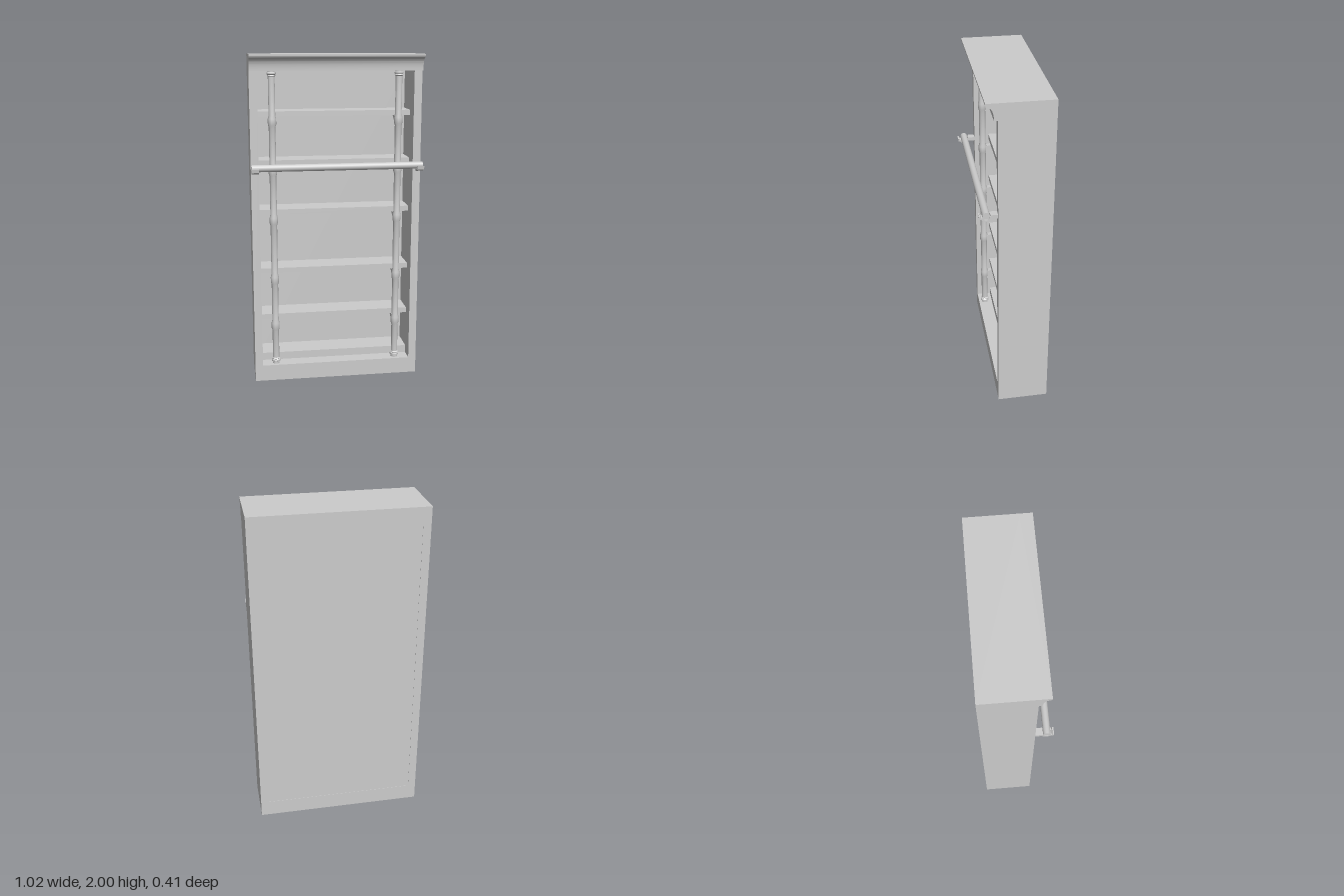
import * as THREE from 'three';
import { toCreasedNormals } from 'three/addons/utils/BufferGeometryUtils.js';

const material = new THREE.MeshStandardMaterial({ color: 0xcccccc });

const BACK = -0.205, FRONT = 0.1, INNER_BACK = -0.15;
const HALF = 0.51, OPEN_X = 0.463, OPEN_BOTTOM = 0.1, OPEN_TOP = 1.905;

function add(parent, name, geometry, x = 0, y = 0, z = 0) {
  const mesh = new THREE.Mesh(geometry, material);
  mesh.name = name;
  mesh.position.set(x, y, z);
  parent.add(mesh);
  return mesh;
}

function box(parent, name, x0, x1, y0, y1, z0, z1) {
  return add(parent, name, new THREE.BoxGeometry(x1 - x0, y1 - y0, z1 - z0),
    (x0 + x1) / 2, (y0 + y1) / 2, (z0 + z1) / 2);
}

// Side profile with shape x = world z, swept along world x and centred
function sweepX(shape, width) {
  const geometry = new THREE.ExtrudeGeometry(shape, { depth: width, bevelEnabled: false, curveSegments: 12 });
  geometry.translate(0, 0, -width / 2);
  geometry.rotateY(-Math.PI / 2);
  return toCreasedNormals(geometry, 0.6);
}

function rectangle(ShapeType, x0, x1, y0, y1) {
  const s = new ShapeType();
  s.moveTo(x0, y0);
  s.lineTo(x1, y0);
  s.lineTo(x1, y1);
  s.lineTo(x0, y1);
  s.closePath();
  return s;
}

export function createModel() {
  const model = new THREE.Group();
  model.name = 'bookcase';

  // Case: hollow frame and back panel
  const frame = rectangle(THREE.Shape, -HALF, HALF, 0, 2);
  frame.holes.push(rectangle(THREE.Path, -OPEN_X, OPEN_X, OPEN_BOTTOM, OPEN_TOP));
  add(model, 'caseFrame',
    new THREE.ExtrudeGeometry(frame, { depth: FRONT - BACK, bevelEnabled: false }), 0, 0, BACK);
  box(model, 'backPanel', -OPEN_X, OPEN_X, OPEN_BOTTOM, OPEN_TOP, BACK + 0.002, INNER_BACK);

  // Crown moulding with a cove profile
  const crown = new THREE.Shape();
  crown.moveTo(FRONT - 0.01, 1.905);
  crown.lineTo(0.12, 1.905);
  crown.quadraticCurveTo(0.121, 1.972, 0.152, 1.978);
  crown.quadraticCurveTo(0.162, 1.98, 0.164, 1.99);
  crown.lineTo(0.164, 2);
  crown.lineTo(FRONT - 0.01, 2);
  crown.closePath();
  add(model, 'crownMoulding', sweepX(crown, HALF * 2));

  // Shelves, set back behind the columns
  const shelfTops = [0.405, 0.703, 1.073, 1.375, 1.667];
  const shelfFront = 0.01;
  box(model, 'bottomShelf', -OPEN_X, OPEN_X, OPEN_BOTTOM, 0.147, INNER_BACK, shelfFront);
  for (const top of shelfTops) {
    box(model, 'shelf', -OPEN_X, OPEN_X, top - 0.032, top, INNER_BACK, shelfFront);
  }

  // Column profile: collars at both ends and a swelling under each shelf
  const profile = [
    [0, 0.1], [0.021, 0.1], [0.021, 0.112], [0.027, 0.115], [0.027, 0.125],
    [0.023, 0.13], [0.026, 0.134], [0.02, 0.139],
  ];
  for (const top of shelfTops) {
    const y = top - 0.032;
    profile.push([0.02, y - 0.055], [0.025, y - 0.04], [0.025, y - 0.008], [0.02, y + 0.012]);
  }
  profile.push([0.02, 1.872], [0.026, 1.877], [0.023, 1.882], [0.027, 1.886],
    [0.027, 1.894], [0.021, 1.897], [0.021, 1.905], [0, 1.905]);
  const columnGeometry = toCreasedNormals(
    new THREE.LatheGeometry(profile.map(([r, y]) => new THREE.Vector2(r, y)), 24), 0.5);

  // Curved bracket tying a column to the underside of a shelf
  const bracket = new THREE.Shape();
  bracket.moveTo(-0.03, 0);
  bracket.lineTo(0.01, 0);
  bracket.quadraticCurveTo(0.035, -0.004, 0.05, -0.012);
  bracket.lineTo(0.05, -0.04);
  bracket.quadraticCurveTo(0.01, -0.035, -0.03, 0);
  const bracketGeometry = sweepX(bracket, 0.03);

  // Rail holder: open cup with a curled front lip
  const cup = new THREE.Shape();
  cup.absarc(0, 0, 0.03, Math.PI, Math.PI * 1.85, false);
  cup.lineTo(0.037, -0.016);
  cup.lineTo(0.04, 0.004);
  cup.lineTo(0.032, 0.004);
  cup.lineTo(0.028, -0.006);
  cup.lineTo(0.021, -0.006);
  cup.absarc(0, 0, 0.021, Math.PI * 1.9, Math.PI, true);
  cup.closePath();
  const cupGeometry = sweepX(cup, 0.042);

  const RAIL_Y = 1.352, RAIL_Z = 0.165;
  for (const side of [-1, 1]) {
    add(model, 'column', columnGeometry, side * 0.378, 0, 0.06);
    for (const top of shelfTops) {
      add(model, 'shelfBracket', bracketGeometry, side * 0.378, top - 0.032, 0);
    }

    const holder = new THREE.Group();
    holder.name = 'railHolder';
    holder.position.x = side * 0.487;
    model.add(holder);
    add(holder, 'holderCup', cupGeometry, 0, RAIL_Y - 0.004, RAIL_Z);
    box(holder, 'holderStem', -0.021, 0.021, 1.335, 1.357, FRONT - 0.005, 0.142);
  }

  // Ladder rail across the front
  const rail = new THREE.CylinderGeometry(0.021, 0.021, 1.01, 24);
  rail.rotateZ(Math.PI / 2);
  add(model, 'frontRail', rail, 0, RAIL_Y, RAIL_Z);

  return model;
}
